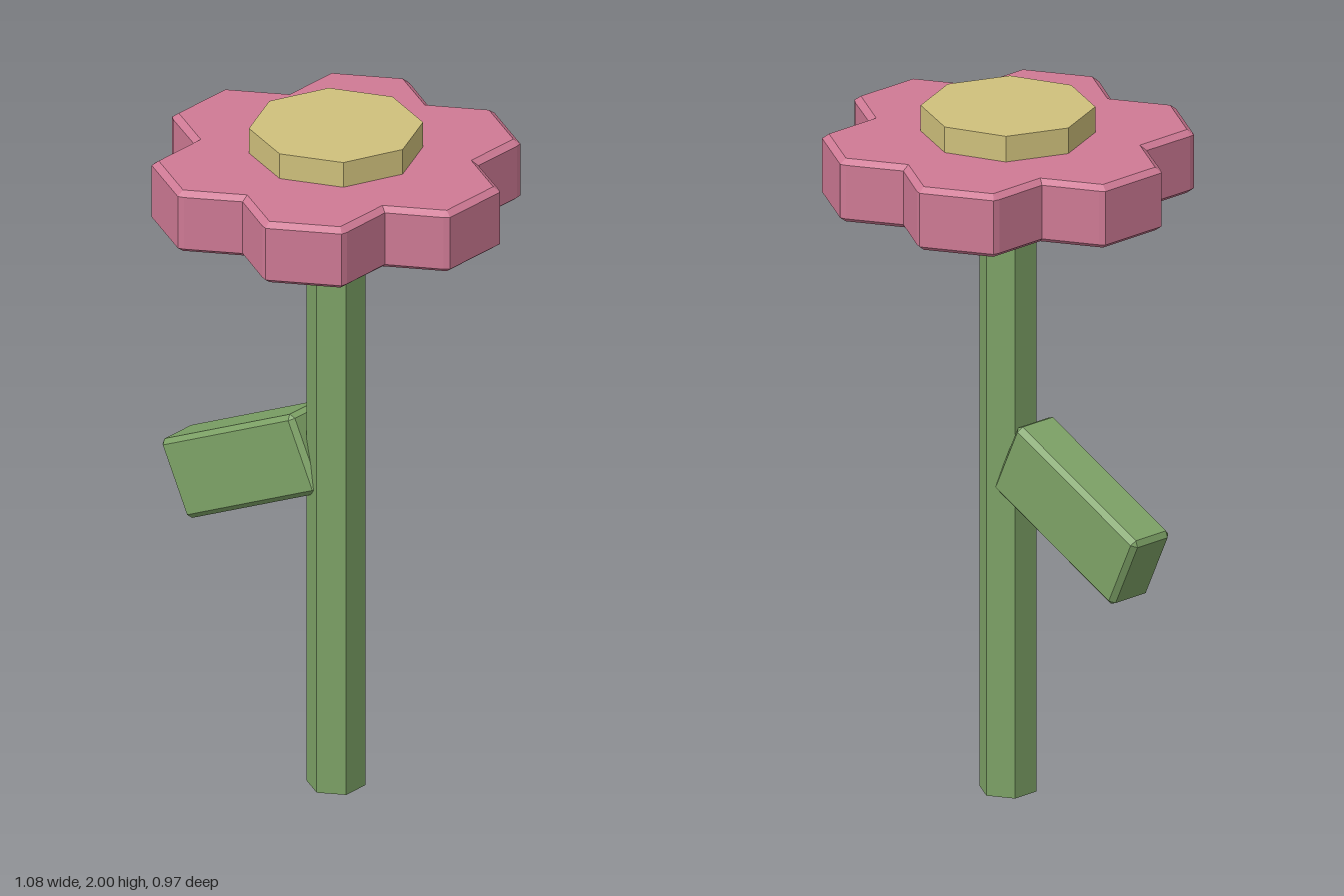
import * as THREE from 'three';
import { ConvexGeometry } from 'three/addons/geometries/ConvexGeometry.js';

const material = (name, color) => {
  const m = new THREE.MeshStandardMaterial({ color, flatShading: true });
  m.name = name;
  return m;
};

// Repeats one petal's half outline [x, z] (valley first) around six sectors
function sixfold(points) {
  const [valley, c1, c2] = points;
  const sector = [[valley[0], -valley[1]], [c1[0], -c1[1]], [c2[0], -c2[1]], c2, c1];
  const ring = [];
  for (let k = 0; k < 6; k++) {
    const c = Math.cos(k * Math.PI / 3), s = Math.sin(k * Math.PI / 3);
    for (const [x, z] of sector) ring.push([x * c - z * s, x * s + z * c]);
  }
  return ring;
}

// Joins the rings into a closed, ring-shaped solid
function loft(rings) {
  const pos = [], index = [], n = rings[0].ring.length;
  for (const { ring, y } of rings) for (const [x, z] of ring) pos.push(x, y, z);
  rings.forEach((_, r) => {
    const a = r * n, b = ((r + 1) % rings.length) * n;
    for (let i = 0; i < n; i++) {
      const j = (i + 1) % n;
      index.push(a + i, b + i, a + j, a + j, b + i, b + j);
    }
  });
  const g = new THREE.BufferGeometry();
  g.setAttribute('position', new THREE.Float32BufferAttribute(pos, 3));
  g.setIndex(index);
  const flat = g.toNonIndexed();
  flat.computeVertexNormals();
  return flat;
}

// Box with chamfered edges
function chamferBox(w, h, d, c) {
  const pts = [];
  for (const x of [-1, 1]) for (const y of [-1, 1]) for (const z of [-1, 1])
    for (let k = 0; k < 3; k++)
      pts.push(new THREE.Vector3(
        x * (w / 2 - (k === 0 ? 0 : c)),
        y * (h / 2 - (k === 1 ? 0 : c)),
        z * (d / 2 - (k === 2 ? 0 : c))));
  return new ConvexGeometry(pts);
}

export function createModel() {
  const green = material('stem green', 0x7da266);
  const pink = material('petal pink', 0xcf7a95);
  const yellow = material('centre yellow', 0xcfc07c);
  const model = new THREE.Group();
  model.name = 'flower';
  const add = (name, geometry, mat, x, y) => {
    const mesh = new THREE.Mesh(geometry, mat);
    mesh.name = name;
    mesh.position.set(x, y, 0);
    model.add(mesh);
    return mesh;
  };
  const axis = 0.035;

  // Six-sided stem
  add('stem', new THREE.CylinderGeometry(0.082, 0.082, 1.82, 6), green, axis, 0.91);

  // Drooping leaf
  add('leaf', chamferBox(0.526, 0.233, 0.142, 0.014), green, -0.259, 0.894)
    .rotation.z = THREE.MathUtils.degToRad(25.2);

  // Bevelled petal ring with a six-sided hole
  const outer = sixfold([[0.344, 0.1985], [0.486, 0.118], [0.5, 0.106]]);
  const inset = sixfold([[0.327, 0.1885], [0.482, 0.099], [0.482, 0.099]]);
  const hole = (r) => {
    const x = r * Math.cos(Math.PI / 6);
    return sixfold([[x, r / 2], [x, r / 3], [x, r / 4]]);
  };
  add('petals', loft([
    { ring: hole(0.17), y: 1.74 },
    { ring: inset, y: 1.74 },
    { ring: outer, y: 1.754 },
    { ring: outer, y: 1.911 },
    { ring: inset, y: 1.925 },
    { ring: hole(0.17), y: 1.925 },
    { ring: hole(0.153), y: 1.911 },
    { ring: hole(0.153), y: 1.754 },
  ]), pink, axis, 0);

  // Eight-sided flower centre
  add('flowerCentre', new THREE.CylinderGeometry(0.24, 0.24, 0.19, 8), yellow, axis, 1.905);

  return model;
}
